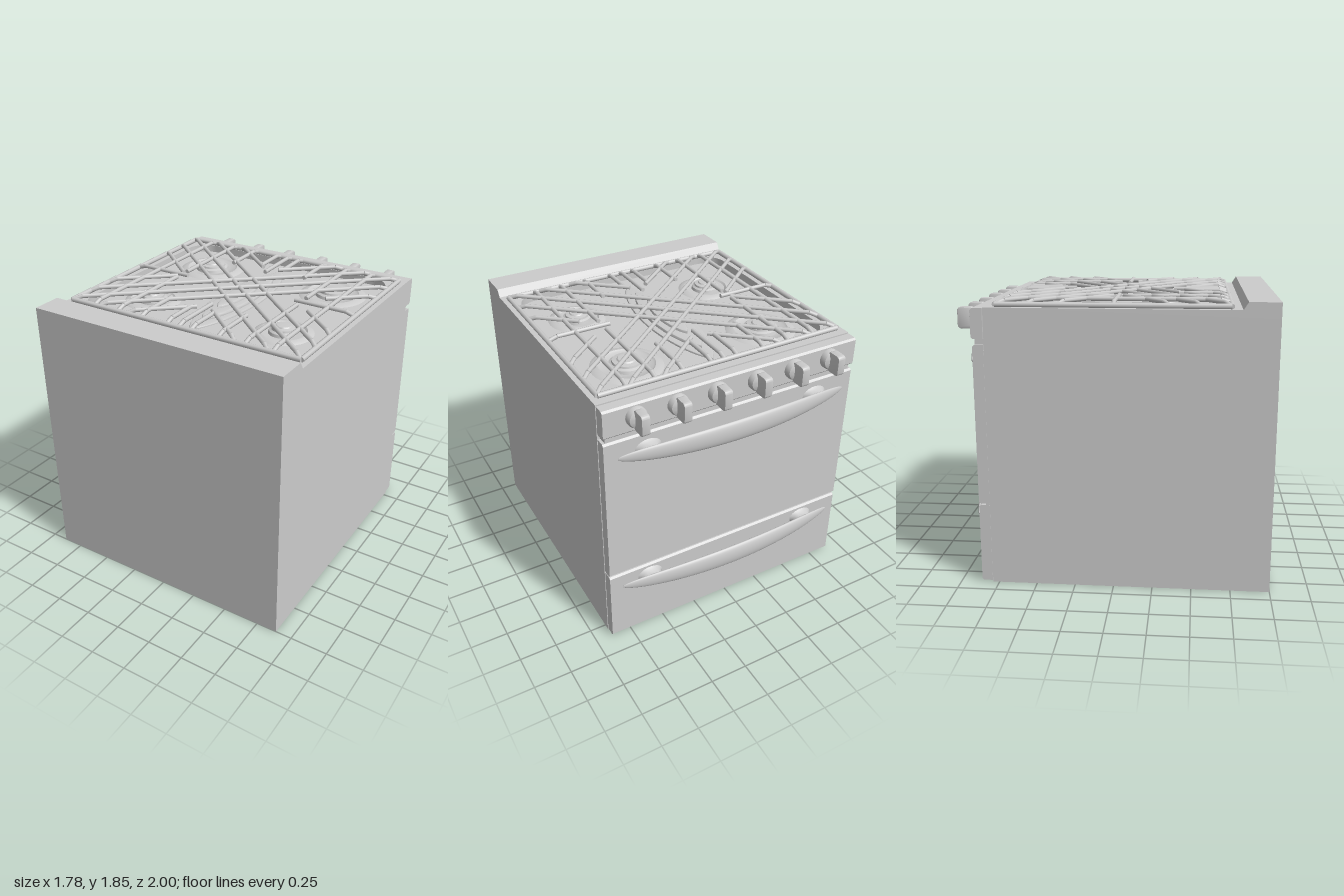
import * as THREE from 'three';
import { toCreasedNormals } from 'three/addons/utils/BufferGeometryUtils.js';

const V = (x, y, z) => new THREE.Vector3(x, y, z);

export function createModel() {
  const root = new THREE.Group();
  root.name = 'kitchenRange';
  const mat = new THREE.MeshStandardMaterial({ color: 0xcccccc, side: THREE.DoubleSide });

  const add = (name, geo, x = 0, y = 0, z = 0, parent = root) => {
    const m = new THREE.Mesh(geo, mat);
    m.name = name;
    m.position.set(x, y, z);
    parent.add(m);
    return m;
  };
  const group = (name) => {
    const g = new THREE.Group();
    g.name = name;
    root.add(g);
    return g;
  };
  // Slab with a z,y side profile, swept across the width
  const sweepX = (pts, halfWidth) => {
    const s = new THREE.Shape(pts.map(([z, y]) => new THREE.Vector2(-z, y)));
    const g = new THREE.ExtrudeGeometry(s, { depth: 2 * halfWidth, bevelEnabled: false });
    return g.translate(0, 0, -halfWidth).rotateY(Math.PI / 2);
  };
  const lathe = (pts, seg = 36) =>
    toCreasedNormals(new THREE.LatheGeometry(pts.map(([r, y]) => new THREE.Vector2(r, y)), seg), 0.6);

  // Cabinet body
  const W = 0.89, FLOOR = 1.745, TOP = 1.797;
  add('body', new THREE.BoxGeometry(2 * W, FLOOR, 1.79), 0, FLOOR / 2, 0.105);

  // Cooktop rim with a rounded opening around the sunken pan
  const rim = new THREE.Shape([[-W, -1], [W, -1], [W, 0.79], [-W, 0.79]].map((p) => new THREE.Vector2(...p)));
  const roundRect = (hx, hy, r) => {
    const p = new THREE.Path();
    [[hx - r, hy - r, 0], [r - hx, hy - r, 1], [r - hx, r - hy, 2], [hx - r, r - hy, 3]].forEach(([x, y, k]) =>
      p.absarc(x, y, r, k * Math.PI / 2, (k + 1) * Math.PI / 2, false));
    p.closePath();
    return p;
  };
  rim.holes.push(roundRect(0.8, 0.715, 0.15));
  const rimGeo = new THREE.ExtrudeGeometry(rim, { depth: TOP - FLOOR, bevelEnabled: false, curveSegments: 10 });
  add('cooktopRim', toCreasedNormals(rimGeo.rotateX(-Math.PI / 2), 0.6), 0, FLOOR, 0);

  // Raised ledge along the wall side
  add('backLedge', sweepX([[1, TOP], [1, 1.845], [0.805, 1.845], [0.775, TOP]], W));

  // Control panel, recessed strip, oven door and drawer
  const panel = (name, y0, y1, zf) => add(name, sweepX([
    [-0.795, y0], [zf + 0.012, y0], [zf, y0 + 0.012], [zf, y1 - 0.012], [zf + 0.012, y1], [-0.795, y1]], W - 0.002));
  panel('controlPanel', 1.603, 1.792, -0.87);
  panel('ovenDoor', 0.54, 1.568, -0.864);
  panel('drawer', 0.01, 0.53, -0.864);
  add('ventStrip', new THREE.BoxGeometry(1.74, 0.05, 0.06), 0, 1.585, -0.82);
  add('frontBacking', new THREE.BoxGeometry(1.77, 1.5, 0.04), 0, 0.78, -0.8);

  // Knobs: flared base disc and upright grip
  const knobs = group('knobs');
  const knobBase = lathe([[0, 0], [0.066, 0], [0.066, 0.03], [0.058, 0.045], [0.035, 0.055], [0, 0.055]], 28).rotateX(-Math.PI / 2);
  const gripShape = new THREE.Shape();
  gripShape.setFromPoints(roundRect(0.047, 0.062, 0.018).getPoints(5));
  const grip = new THREE.ExtrudeGeometry(gripShape, { depth: 0.042, bevelSize: 0.006, bevelThickness: 0.006, bevelSegments: 2 });
  const gripGeo = toCreasedNormals(grip.translate(0, 0, -0.021).rotateY(Math.PI / 2), 0.6);
  for (const x of [-0.68, -0.41, -0.14, 0.14, 0.41, 0.68]) {
    add('knobBase', knobBase, x, 1.708, -0.865, knobs);
    add('knobGrip', gripGeo, x, 1.708, -0.947, knobs);
  }

  // Bowed, lens-shaped handles on short posts
  const handleGeo = new THREE.SphereGeometry(1, 28, 40).rotateZ(Math.PI / 2);
  const hp = handleGeo.attributes.position;
  for (let i = 0; i < hp.count; i++) {
    const u = hp.getX(i);
    hp.setXYZ(i, 0.81 * u, hp.getY(i) * 0.072, hp.getZ(i) * 0.025 - 0.888 - 0.082 * (1 - u * u));
  }
  handleGeo.computeVertexNormals();
  const post = lathe([[0.06, 0], [0.046, 0.02], [0.04, 0.05]], 24).rotateX(-Math.PI / 2).scale(1.5, 1, 1);
  for (const [name, y] of [['doorHandle', 1.46], ['drawerHandle', 0.445]]) {
    const h = group(name);
    add('handleBar', handleGeo, 0, y, 0, h);
    for (const s of [-1, 1]) add('handlePost', post, s * 0.6, y, -0.862, h);
  }

  // Round burners: dished ring, stepped base and cap
  const burners = group('burners');
  for (const [x, z, r] of [[-0.48, -0.4, 0.18], [0.5, -0.4, 0.18], [-0.49, 0.315, 0.15], [0.515, 0.315, 0.15]]) {
    add('burnerBowl', lathe([[r * 1.28, 0], [r * 1.15, 0.012], [r, 0.016], [r * 0.92, 0.006], [r * 0.62, 0.003]]), x, FLOOR, z, burners);
    add('burnerCap', lathe([[r * 0.66, 0], [r * 0.62, 0.022], [r * 0.52, 0.03], [r * 0.5, 0.042],
      [r * 0.34, 0.046], [r * 0.3, 0.054], [0, 0.056]]), x, FLOOR, z, burners);
  }

  // Long middle burner made of pointed oval tiers
  const oval = (rx, rz, h) => {
    const s = new THREE.Shape();
    s.moveTo(0, -rz);
    s.bezierCurveTo(rx * 1.33, -rz * 0.5, rx * 1.33, rz * 0.5, 0, rz);
    s.bezierCurveTo(-rx * 1.33, rz * 0.5, -rx * 1.33, -rz * 0.5, 0, -rz);
    const g = new THREE.ExtrudeGeometry(s, { depth: h, bevelSize: 0.012, bevelThickness: 0.008, bevelSegments: 2, curveSegments: 20 });
    return toCreasedNormals(g.rotateX(-Math.PI / 2), 0.6);
  };
  add('ovalBurnerBase', oval(0.14, 0.58, 0.004), 0, FLOOR, 0, burners);
  add('ovalBurnerBody', oval(0.1, 0.44, 0.024), 0, FLOOR, 0, burners);
  add('ovalBurnerCap', oval(0.055, 0.26, 0.042), 0, FLOOR, 0, burners);

  // Grate rods
  const grate = group('grate');
  const rod = (name, a, b, r) => {
    const d = b.clone().sub(a);
    const m = add(name, new THREE.CylinderGeometry(r, r, d.length(), 8), 0, 0, 0, grate);
    m.position.copy(a).add(b).multiplyScalar(0.5);
    m.quaternion.setFromUnitVectors(V(0, 1, 0), d.normalize());
  };
  const GX = 0.845, Z0 = -0.725, Z1 = 0.71, HI = 1.832, LO = 1.812, R = 0.0145;
  for (const s of [-1, 1]) rod('grateFrameSide', V(s * GX, LO, Z0), V(s * GX, LO, Z1), 0.017);
  for (const z of [Z0, Z1]) rod('grateFrameEnd', V(-GX, LO, z), V(GX, LO, z), 0.017);

  // A bar bends down to the frame at each end that reaches it
  const bar = (x0, z0, x1, z1) => {
    const ends = [V(x0, HI, z0), V(x1, HI, z1)];
    const dir = ends[1].clone().sub(ends[0]).normalize();
    ends.forEach((p, i) => {
      if (Math.abs(p.x) > GX - 0.01 || p.z < Z0 + 0.01 || p.z > Z1 - 0.01) {
        const foot = V(p.x, LO, p.z);
        p.addScaledVector(dir, i ? -0.06 : 0.06);
        rod('grateFoot', foot, p, R);
      }
    });
    rod('grateBar', ends[0], ends[1], R);
  };

  // Bars running front to back, some broken around the middle
  for (const s of [-1, 1]) {
    bar(s * 0.66, Z0, s * 0.66, Z1);
    for (const [x, gap] of [[0.47, 0.06], [0.285, 0.38], [0.09, 0.45]]) {
      bar(s * x, Z0, s * x, -gap);
      bar(s * x, gap, s * x, Z1);
    }
    bar(s * GX, 0, s * 0.42, 0);
  }
  bar(0, Z0, 0, -0.34);
  bar(0, 0.34, 0, Z1);

  // Crossing diagonals, clipped to the frame, plus short corner pieces
  const K = 0.845;
  for (const s of [-1, 1]) {
    for (const c of [-0.18, 0, 0.18]) {
      const x0 = Math.max(-GX, (Z0 - c) / K), x1 = Math.min(GX, (Z1 - c) / K);
      bar(s * x0, K * x0 + c, s * x1, K * x1 + c);
    }
    for (const t of [-1, 1]) {
      const c = 0.37, zEnd = t > 0 ? Z1 : Z0, inner = s < 0 ? 0.48 : 0.58;
      bar(s * GX, t * (K * GX - c), s * inner, t * (K * inner - c));
      const xe = (Math.abs(zEnd) - c) / K;
      bar(s * xe, zEnd, s * 0.06, t * (K * 0.06 + c));
    }
  }
  return root;
}
